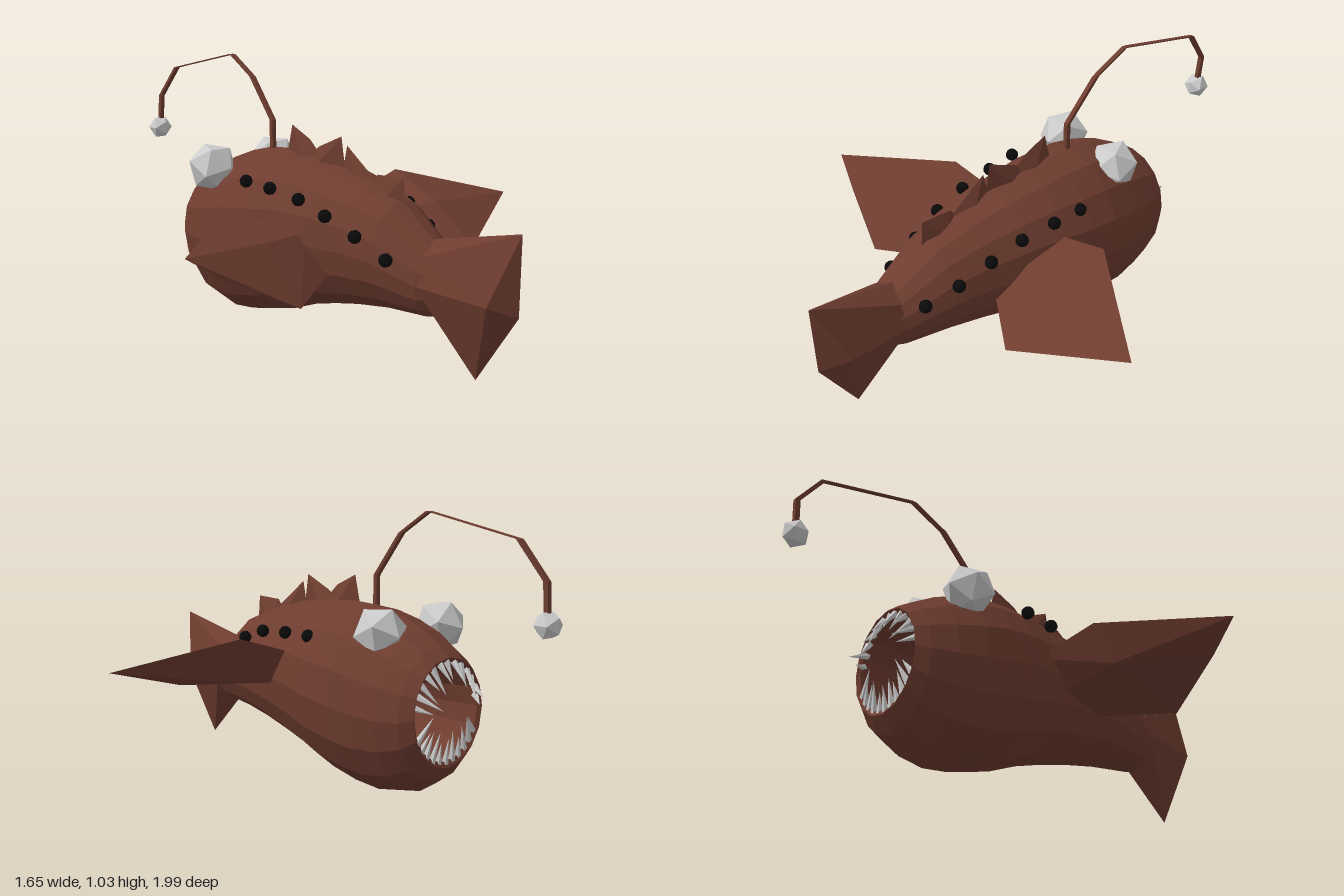
import * as THREE from 'three';
import { ConvexGeometry } from 'three/addons/geometries/ConvexGeometry.js';

const paint = (color, side = THREE.FrontSide) =>
  new THREE.MeshStandardMaterial({ color, side, flatShading: true });

// Skin a list of equal-length rings of [x, y, z] points
function loft(rings) {
  const n = rings[0].length, index = [];
  for (let i = 0; i < rings.length - 1; i++) {
    for (let j = 0; j < n; j++) {
      const a = i * n + j, b = i * n + (j + 1) % n;
      index.push(a, b, b + n, a, b + n, a + n);
    }
  }
  const geo = new THREE.BufferGeometry();
  geo.setAttribute('position', new THREE.Float32BufferAttribute(rings.flat(2), 3));
  geo.setIndex(index);
  geo.computeVertexNormals();
  return geo;
}

const hull = (points) => new ConvexGeometry(points.map((p) => new THREE.Vector3(...p)));

export function createModel() {
  const model = new THREE.Group();
  const skin = paint(0x6f3d30), skinDouble = paint(0x6f3d30, THREE.DoubleSide);
  const grey = paint(0xcccccc), black = paint(0x0a0a0a);
  const add = (name, geo, mat, pos = [0, 0, 0], parent = model) => {
    const mesh = new THREE.Mesh(geo, mat);
    mesh.name = name;
    mesh.position.set(...pos);
    parent.add(mesh);
    return mesh;
  };
  const group = (name) => {
    const g = new THREE.Group();
    g.name = name;
    model.add(g);
    return g;
  };

  // Body: from the back of the throat out to the lips, then along to the tail
  // [z, top, bottom, half width, centre x]
  const sections = [
    [-0.15, 0.34, 0.34, 0, -0.01], [-0.2, 0.45, 0.22, 0.11, -0.01],
    [-0.42, 0.5, 0.165, 0.16, -0.01], [-0.545, 0.515, 0.155, 0.165, -0.01],
    [-0.555, 0.53, 0.135, 0.18, -0.01], [-0.51, 0.565, 0.075, 0.212, -0.01],
    [-0.42, 0.615, 0.02, 0.245, -0.015], [-0.31, 0.655, 0.0, 0.268, -0.015],
    [-0.2, 0.682, 0.012, 0.277, -0.01], [-0.08, 0.69, 0.04, 0.272, -0.005],
    [0.05, 0.685, 0.09, 0.248, 0], [0.2, 0.665, 0.13, 0.226, -0.005],
    [0.36, 0.63, 0.165, 0.192, -0.01], [0.5, 0.58, 0.187, 0.16, -0.015],
    [0.67, 0.46, 0.2, 0.112, -0.025], [0.78, 0.4, 0.25, 0.07, -0.015],
    [0.85, 0.33, 0.33, 0, -0.01],
  ];
  const sides = 16;
  add('body', loft(sections.map(([z, top, bottom, w, cx]) =>
    Array.from({ length: sides }, (_, j) => {
      const a = (j / sides) * Math.PI * 2;
      return [cx + w * Math.cos(a), (top + bottom) / 2 + ((top - bottom) / 2) * Math.sin(a), z];
    }))), skin);

  // Tail fin: upright blade with a ridge on each flank
  add('tailFin', hull([
    [-0.02, 0.47, 0.65], [0, 0.55, 1], [0, 0.27, 1], [-0.02, 0.02, 0.85], [-0.02, 0.2, 0.66],
    [-0.095, 0.31, 0.94], [0.07, 0.31, 0.9], [-0.135, 0.33, 0.67], [0.085, 0.33, 0.67],
    [-0.1, 0.43, 0.68], [0.06, 0.43, 0.68],
  ]), skin);

  // Side fins: diamond sections at root and middle, running to a point
  add('leftFin', hull([
    [0.17, 0.49, 0.05], [0.17, 0.45, 0.2], [0.17, 0.34, 0.34], [0.17, 0.37, 0.12],
    [0.43, 0.57, 0.055], [0.4, 0.48, 0.3], [0.4, 0.335, 0.49], [0.43, 0.4, 0.15],
    [0.82, 0.46, 0.31],
  ]), skin);
  add('rightFin', hull([
    [-0.18, 0.45, 0.0], [-0.18, 0.43, 0.18], [-0.18, 0.3, 0.3], [-0.18, 0.33, 0.1],
    [-0.45, 0.505, 0.03], [-0.43, 0.45, 0.25], [-0.45, 0.27, 0.455], [-0.48, 0.36, 0.1],
    [-0.7, 0.4, 0.38], [-0.83, 0.49, 0.34],
  ]), skin);

  // Back spines: [front z, rear z, base y], then the [z, y] corners of the crest
  const spines = group('backSpines');
  [
    [-0.1, 0.12, 0.66, [[-0.07, 0.785], [0.03, 0.74]]],
    [-0.02, 0.22, 0.655, [[0.2, 0.77], [0.085, 0.72]]],
    [0.2, 0.42, 0.6, [[0.23, 0.74]]],
    [0.32, 0.52, 0.56, [[0.51, 0.66], [0.385, 0.655]]],
  ].forEach(([front, rear, y, crest]) => {
    const mid = (front + rear) / 2;
    add('backSpine', hull([
      [-0.02, y, front], [-0.05, y, mid], [0.015, y, mid], [-0.02, y, rear],
      ...crest.map(([z, top]) => [-0.02, top, z]),
    ]), skin, undefined, spines);
  });

  // Lure rod: a level square swept along a bent path, so flat runs become thin
  const rodPath = [
    [-0.02, 0.64, -0.185], [-0.02, 0.79, -0.185], [-0.01, 0.95, -0.32], [0, 1.03, -0.46],
    [0, 0.95, -0.85], [-0.015, 0.82, -0.95], [-0.025, 0.69, -0.95],
  ];
  const r = 0.009;
  add('lureRod', loft(rodPath.map(([x, y, z]) =>
    [[-r, -r], [r, -r], [r, r], [-r, r]].map(([dx, dz]) => [x + dx, y, z + dz]))), skinDouble);
  add('lureBulb', new THREE.IcosahedronGeometry(0.05, 0), grey, [-0.027, 0.68, -0.95]);

  // Eyes
  const eye = new THREE.IcosahedronGeometry(0.1, 0);
  add('leftEye', eye, grey, [0.1, 0.605, -0.325]).rotation.set(0.45, 0, 0.1);
  add('rightEye', eye, grey, [-0.2, 0.605, -0.34]).rotation.set(0.5, 0.1, -0.1);

  // Rows of dark spots along both flanks
  const spots = group('spots');
  const dot = new THREE.IcosahedronGeometry(0.025, 1);
  [
    [0.2, 0.57, -0.05], [0.2, 0.57, 0.08], [0.19, 0.56, 0.228], [0.175, 0.52, 0.36],
    [0.145, 0.46, 0.485], [0.105, 0.41, 0.607],
    [-0.235, 0.59, -0.09], [-0.225, 0.58, 0.035], [-0.215, 0.56, 0.18], [-0.207, 0.52, 0.31],
    [-0.183, 0.465, 0.435], [-0.165, 0.405, 0.565],
  ].forEach((p) => add('spot', dot, black, p, spots));

  // Teeth: upper row splays forward, lower row stands up inside the lip
  const teeth = group('teeth');
  const up = new THREE.Vector3(0, 1, 0);
  const toothRow = (from, to, count, lean) => {
    for (let i = 0; i < count; i++) {
      const a = from + ((to - from) * i) / (count - 1);
      const length = 0.085 + 0.018 * ((i * 2) % 3);
      const cone = new THREE.ConeGeometry(0.015, length, 5).translate(0, length / 2 - 0.012, 0);
      const tooth = add('tooth', cone, grey,
        [-0.01 + 0.165 * Math.cos(a), 0.335 + 0.182 * Math.sin(a), -0.54], teeth);
      const dir = new THREE.Vector3(-0.4 * Math.cos(a), -Math.sin(a), -lean * (0.6 + 0.4 * (i % 2)));
      tooth.quaternion.setFromUnitVectors(up, dir.normalize());
    }
  };
  toothRow(0.2, Math.PI - 0.2, 13, 0.85);
  toothRow(Math.PI + 0.5, Math.PI * 2 - 0.5, 11, 0.2);

  return model;
}
